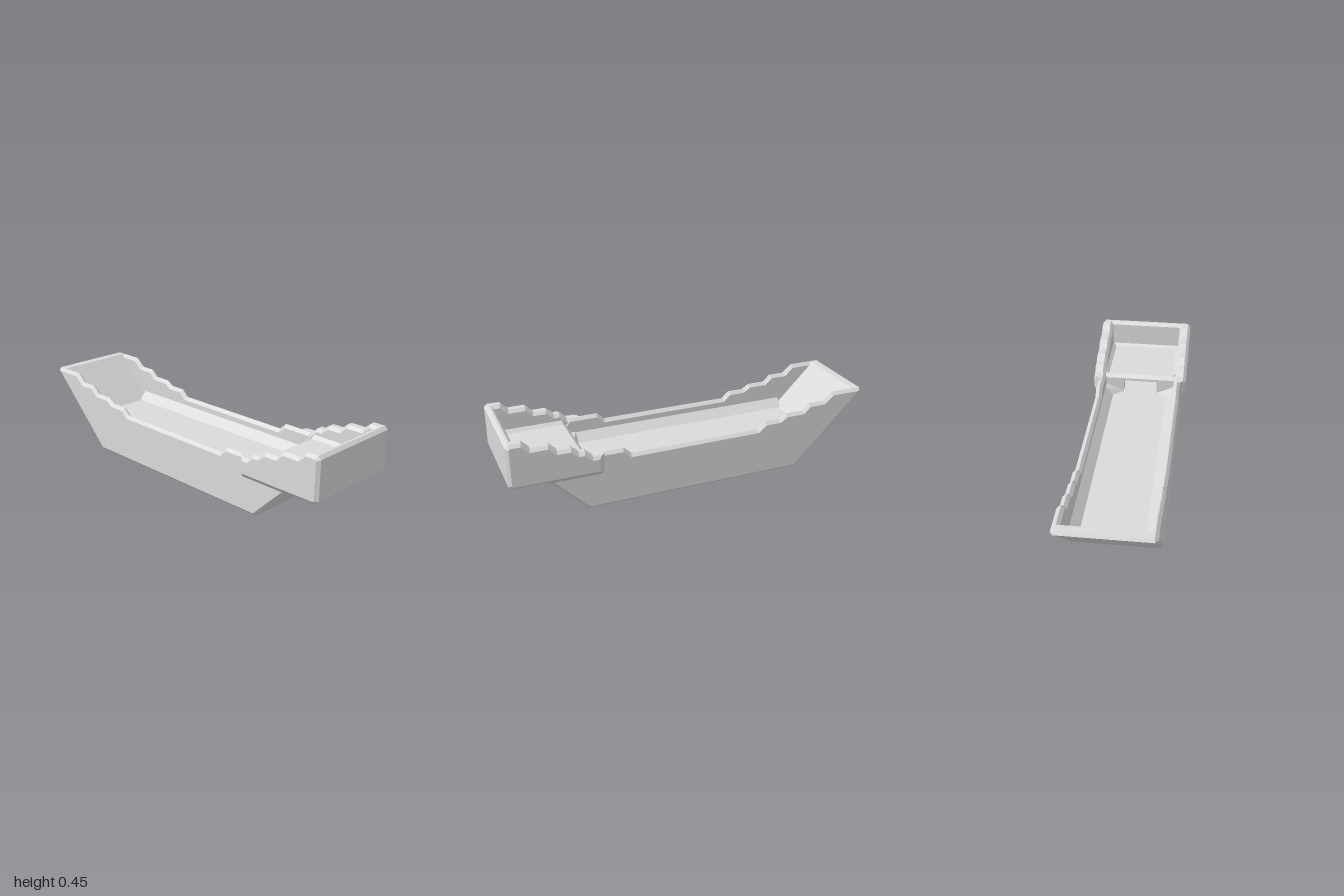
import * as THREE from 'three';
import { ConvexGeometry } from 'three/addons/geometries/ConvexGeometry.js';

export function createModel() {
  const model = new THREE.Group();
  const hullGrey = new THREE.MeshStandardMaterial({ color: 0xdadada });
  hullGrey.name = 'hull grey';

  function add(name, geometry) {
    const mesh = new THREE.Mesh(geometry, hullGrey);
    mesh.name = name;
    model.add(mesh);
    return mesh;
  }

  // Side profile given as [z, y], extruded across x from x0 to x1, edges chamfered by b
  function slab(name, profile, x0, x1, b = 0) {
    const shape = new THREE.Shape(profile.map(([z, y]) => new THREE.Vector2(z, y)));
    const geometry = new THREE.ExtrudeGeometry(shape, {
      depth: x1 - x0 - 2 * b, bevelEnabled: b > 0, bevelSize: b,
      bevelThickness: b, bevelOffset: -b, bevelSegments: 1,
    });
    geometry.rotateY(-Math.PI / 2);
    geometry.translate(x1 - b, 0, 0);
    return add(name, geometry);
  }

  // Same slab on both sides
  function sidePair(name, profile, x0, x1, b) {
    slab('left' + name, profile, x0, x1, b);
    slab('right' + name, profile, -x1, -x0, b);
  }

  // Hull sides with stepped rim
  sidePair('HullSide', [
    [-0.6, 0], [0.6, 0], [0.81, 0.21], [0.81, 0.265], [0.6, 0.265], [0.57, 0.307],
    [0.4, 0.307], [0.36, 0.27], [-0.36, 0.27], [-0.4, 0.307], [-0.49, 0.307],
    [-0.53, 0.333], [-0.63, 0.333], [-0.67, 0.37], [-0.76, 0.37], [-0.81, 0.415],
    [-0.99, 0.415], [-1, 0.4],
  ], 0.205, 0.243, 0.016);

  // Sloped stern plate
  slab('sternPlate', [
    [-0.54, 0], [-0.54, 0.01], [-0.945, 0.415], [-0.99, 0.415], [-1, 0.4], [-0.6, 0],
  ], -0.226, 0.226);

  // Sloped bow plate
  slab('bowPlate', [
    [0.55, 0], [0.6, 0], [0.81, 0.21], [0.81, 0.26], [0.81, 0.26],
  ].slice(0, 4), -0.226, 0.226);

  // Floor between the two plates, leaving the underside recessed
  slab('floor', [
    [-0.67, 0.13], [0.61, 0.13], [0.65, 0.1], [0.74, 0.18], [-0.72, 0.18],
  ], -0.215, 0.215);

  // Raised fore deck
  slab('foreDeck', [
    [0.58, 0.255], [0.8, 0.255], [0.8, 0.21], [0.98, 0.21], [0.98, 0.31], [0.96, 0.31],
    [0.94, 0.29], [0.6, 0.29], [0.58, 0.27],
  ], -0.215, 0.215);

  // Front wall with chamfered edges
  slab('frontWall', [
    [0.955, 0.21], [0.984, 0.21], [1, 0.226], [1, 0.434], [0.984, 0.45],
    [0.971, 0.45], [0.955, 0.434],
  ], -0.258, 0.258);

  // Fore box sides with stepped rim
  sidePair('ForeBoxSide', [
    [0.54, 0.21], [0.984, 0.21], [1, 0.226], [1, 0.434], [0.984, 0.45], [0.92, 0.45],
    [0.88, 0.412], [0.79, 0.412], [0.75, 0.375], [0.68, 0.375], [0.64, 0.342],
    [0.61, 0.342], [0.57, 0.307], [0.54, 0.307],
  ], 0.21, 0.275, 0.016);

  for (const s of [1, -1]) {
    const side = s > 0 ? 'left' : 'right';
    const hull = (name, pts) => add(side + name, new ConvexGeometry(
      pts.map(([x, y, z]) => new THREE.Vector3(s * x, y, z))));

    // Flared joint between hull and fore box
    hull('ForeBoxFlare', [
      [0.24, 0.19, 0.52], [0.24, 0.205, 0.505], [0.24, 0.19, 0.79], [0.26, 0.21, 0.81],
      [0.24, 0.21, 0.81], [0.275, 0.225, 0.54], [0.275, 0.225, 0.81],
      [0.227, 0.307, 0.505], [0.243, 0.307, 0.507], [0.259, 0.307, 0.524],
      [0.275, 0.291, 0.54], [0.275, 0.291, 0.6], [0.259, 0.307, 0.6], [0.227, 0.307, 0.6],
    ]);

    // Chamfer between floor and side
    hull('FloorChamfer', [-0.72, 0.58].flatMap((z) => [
      [0.16, 0.18, z], [0.21, 0.18, z], [0.21, 0.23, z],
    ]));

    // Chamfer between deck and box side
    hull('DeckChamfer', [0.6, 0.955].flatMap((z) => [
      [0.19, 0.289, z], [0.215, 0.289, z], [0.215, 0.312, z],
    ]));

    // Chamfered corner at the foot of the bulkhead
    hull('CornerFillet', [
      [0.1, 0.18, 0.58], [0.16, 0.18, 0.53], [0.21, 0.18, 0.53],
      [0.21, 0.23, 0.53], [0.21, 0.23, 0.58], [0.21, 0.18, 0.58],
    ]);

    // Post beside the opening under the deck
    const post = add(side + 'BulkheadPost', new THREE.BoxGeometry(0.11, 0.085, 0.05));
    post.position.set(s * 0.155, 0.217, 0.606);
  }

  return model;
}
